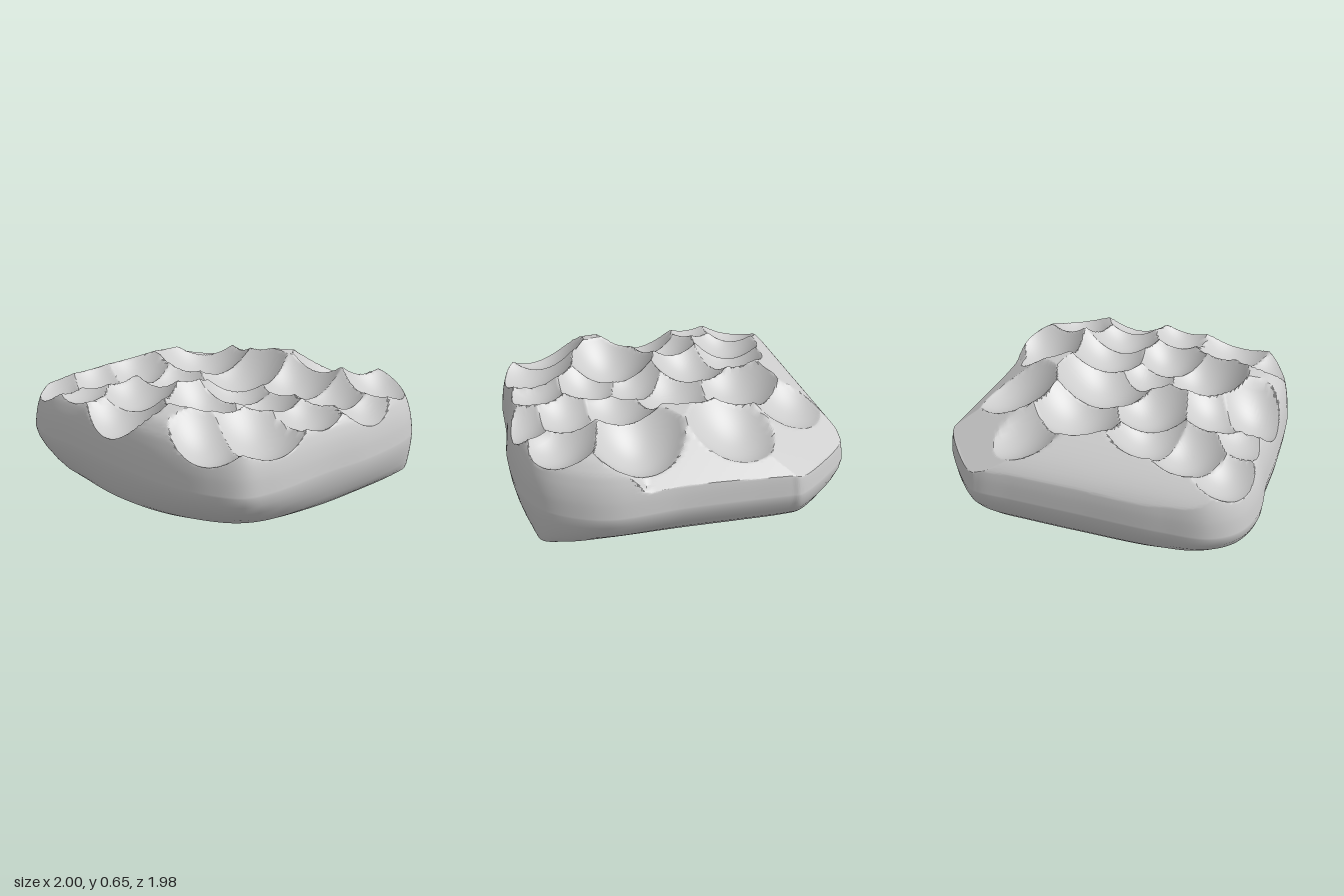
import * as THREE from 'three';
import { toCreasedNormals } from 'three/addons/utils/BufferGeometryUtils.js';

const SEGMENTS = 300;
const TOP_ROWS = 120;

// Widest outline and matching foot outline, as [x, z, footX, footZ]
const OUTLINE = [
  [-0.6, -0.985, -0.67, -0.77], [-0.54, -0.985, -0.56, -0.79], [-0.3, -0.975, -0.27, -0.79],
  [0.1, -0.965, 0.1, -0.78], [0.5, -0.98, 0.5, -0.77], [0.7, -0.91, 0.76, -0.77],
  [0.87, -0.78, 0.87, -0.73], [0.96, -0.6, 0.9, -0.58], [1.0, -0.18, 0.9, -0.15],
  [0.975, 0.15, 0.88, 0.15], [0.96, 0.58, 0.81, 0.48], [0.91, 0.74, 0.72, 0.62],
  [0.75, 0.85, 0.58, 0.73], [0.45, 0.935, 0.35, 0.84], [0.0, 0.965, 0.0, 0.9],
  [-0.35, 0.965, -0.32, 0.89], [-0.65, 0.985, -0.53, 0.86], [-0.86, 0.92, -0.67, 0.75],
  [-0.97, 0.78, -0.76, 0.6], [-1.0, 0.5, -0.82, 0.42], [-1.0, 0.0, -0.84, 0.0],
  [-1.0, -0.4, -0.84, -0.32], [-1.0, -0.6, -0.83, -0.52], [-0.98, -0.67, -0.78, -0.65],
];

// Scooped hollows as [x, z, floor height, steepness]
const SCOOPS = [
  [-0.32, -0.75, 0.42, 1.8], [0.28, -0.76, 0.41, 2.2], [0.75, -0.63, 0.45, 2.4],
  [-0.78, -0.48, 0.43, 1.8], [-0.45, -0.17, 0.43, 2.0], [-0.06, -0.13, 0.42, 2.0],
  [0.34, -0.25, 0.44, 2.2], [0.63, -0.25, 0.44, 2.4], [0.94, -0.27, 0.43, 2.4],
  [0.17, 0.07, 0.44, 2.6], [0.42, 0.13, 0.43, 2.6], [0.79, 0.12, 0.45, 2.5],
  [-0.27, 0.22, 0.44, 2.4], [-0.56, 0.32, 0.45, 2.4], [-0.62, 0.56, 0.43, 2.4],
  [0.24, 0.4, 0.41, 2.4], [-0.17, 0.62, 0.45, 2.4], [0.79, 0.5, 0.39, 1.9],
  [-0.04, 0.86, 0.37, 2.4], [-0.43, 0.85, 0.49, 2.2], [-0.75, 0.84, 0.42, 2.4],
  [0.67, 0.78, 0.39, 2.3],
];

// Height left after carving every hollow and the sloping left, back and corner edges
function carvedHeight(x, z) {
  let h = Math.min(
    0.33 + 0.5 * Math.sqrt(Math.max(0, x + 1)),
    0.37 + 0.7 * (z + 0.98) + Math.max(0, x - 0.3),
    0.36 + 0.5 * Math.max(0, 0.64 * x + 0.77 * z + 1.14),
  );
  for (const [cx, cz, floor, k] of SCOOPS) {
    h = Math.min(h, floor + k * ((x - cx) ** 2 + (z - cz) ** 2));
  }
  return h;
}

function closedLoop(points) {
  const curve = new THREE.CatmullRomCurve3(points, true, 'centripetal');
  return Array.from({ length: SEGMENTS }, (_, i) => curve.getPoint(i / SEGMENTS));
}

function rockGeometry() {
  const wide = closedLoop(OUTLINE.map(([x, z]) => new THREE.Vector3(x, 0, z)));
  const foot = closedLoop(OUTLINE.map(([, , x, z]) => new THREE.Vector3(x, 0, z)));
  const rows = [];

  // Flat underside and flared lower flank
  for (const [scale, blend, y] of [
    [0, 1, 0.01], [0.5, 1, 0.005], [1, 1, 0.01], [1, 0.72, 0.035],
    [1, 0.45, 0.08], [1, 0.2, 0.14], [1, 0.06, 0.195],
  ]) {
    rows.push(wide.map((p, i) => p.clone().lerp(foot[i], blend).multiplyScalar(scale).setY(y)));
  }

  // Upper flank, rounded shoulder and carved top
  const shoulder = new THREE.SplineCurve([
    [1, 0.25], [0.986, 0.36], [0.962, 0.45], [0.927, 0.52],
    [0.86, 0.58], [0.72, 0.615], [0.4, 0.66], [0, 0.66],
  ].map(([s, y]) => new THREE.Vector2(s, y)));
  for (let r = 0; r <= TOP_ROWS; r++) {
    const { x: s, y } = shoulder.getPointAt(r / TOP_ROWS);
    rows.push(wide.map((p) => {
      const x = p.x * s, z = p.z * s;
      return new THREE.Vector3(x, Math.min(y, carvedHeight(x, z)), z);
    }));
  }

  // Skin the rows, splitting each quad along its higher diagonal so ridges stay crisp
  const points = rows.flat();
  const index = [];
  for (let r = 0; r < rows.length - 1; r++) {
    for (let i = 0; i < SEGMENTS; i++) {
      const j = (i + 1) % SEGMENTS;
      const a = r * SEGMENTS + i, b = r * SEGMENTS + j;
      const c = a + SEGMENTS, d = b + SEGMENTS;
      if (r === 0) index.push(b, c, d);
      else if (r === rows.length - 2) index.push(a, c, b);
      else if (points[a].y + points[d].y > points[b].y + points[c].y) index.push(a, c, d, a, d, b);
      else index.push(a, c, b, b, c, d);
    }
  }
  const geometry = new THREE.BufferGeometry().setFromPoints(points);
  geometry.setIndex(index);
  return toCreasedNormals(geometry, 0.6);
}

export function createModel() {
  const stone = new THREE.MeshStandardMaterial({ color: 0xcccccc });
  stone.name = 'stone grey';
  const rock = new THREE.Mesh(rockGeometry(), stone);
  rock.name = 'scoopedRock';
  const group = new THREE.Group();
  group.name = 'rock';
  group.add(rock);
  return group;
}
